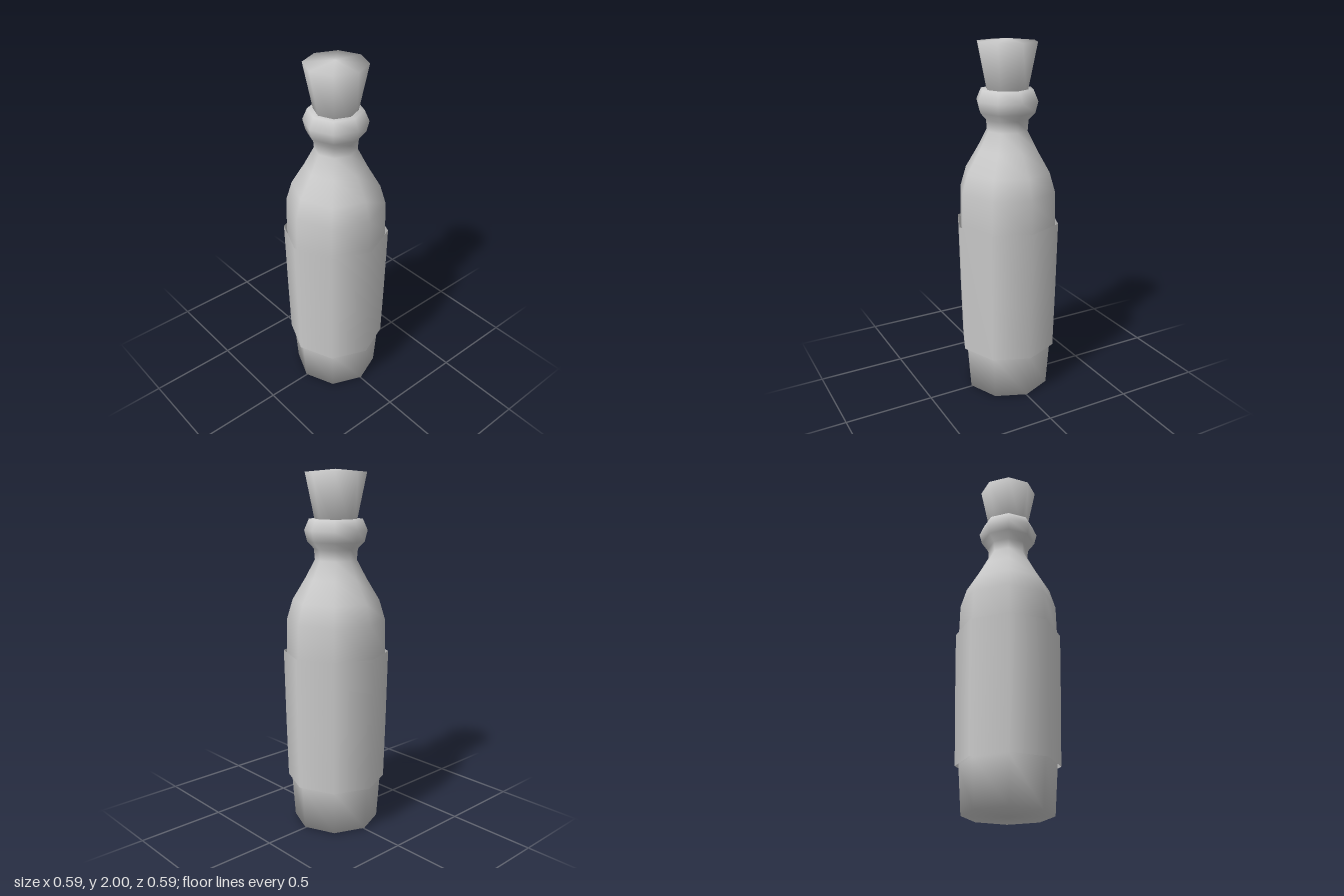
import * as THREE from 'three';

const SIDES = 8;

// Revolve an [radius, height] profile, listed from bottom to top, into an eight-sided smooth form
function turned(name, profile, side = THREE.FrontSide) {
  const points = profile.map(([r, y]) => new THREE.Vector2(r, y));
  const material = new THREE.MeshStandardMaterial({ color: 0xcccccc, side });
  const mesh = new THREE.Mesh(new THREE.LatheGeometry(points, SIDES), material);
  mesh.name = name;
  return mesh;
}

export function createModel() {
  const bottle = new THREE.Group();
  bottle.name = 'bottle';

  // Glass body: closed base, swelling sides, sloped shoulder, neck and rounded lip
  bottle.add(turned('body', [
    [0, 0], [0.24, 0.005], [0.258, 0.26], [0.277, 1.01], [0.273, 1.19],
    [0.24, 1.3], [0.168, 1.42], [0.115, 1.52], [0.12, 1.58],
    [0.157, 1.62], [0.172, 1.68], [0.146, 1.74], [0.1, 1.74],
  ]));

  // Open wrap standing slightly off the body
  bottle.add(turned('label', [
    [0.277, 0.26], [0.286, 0.6], [0.294, 1.01],
  ], THREE.DoubleSide));

  // Flared stopper with a shallow domed top
  bottle.add(turned('stopper', [
    [0, 1.7], [0.108, 1.7], [0.166, 1.985], [0, 2],
  ]));

  return bottle;
}
